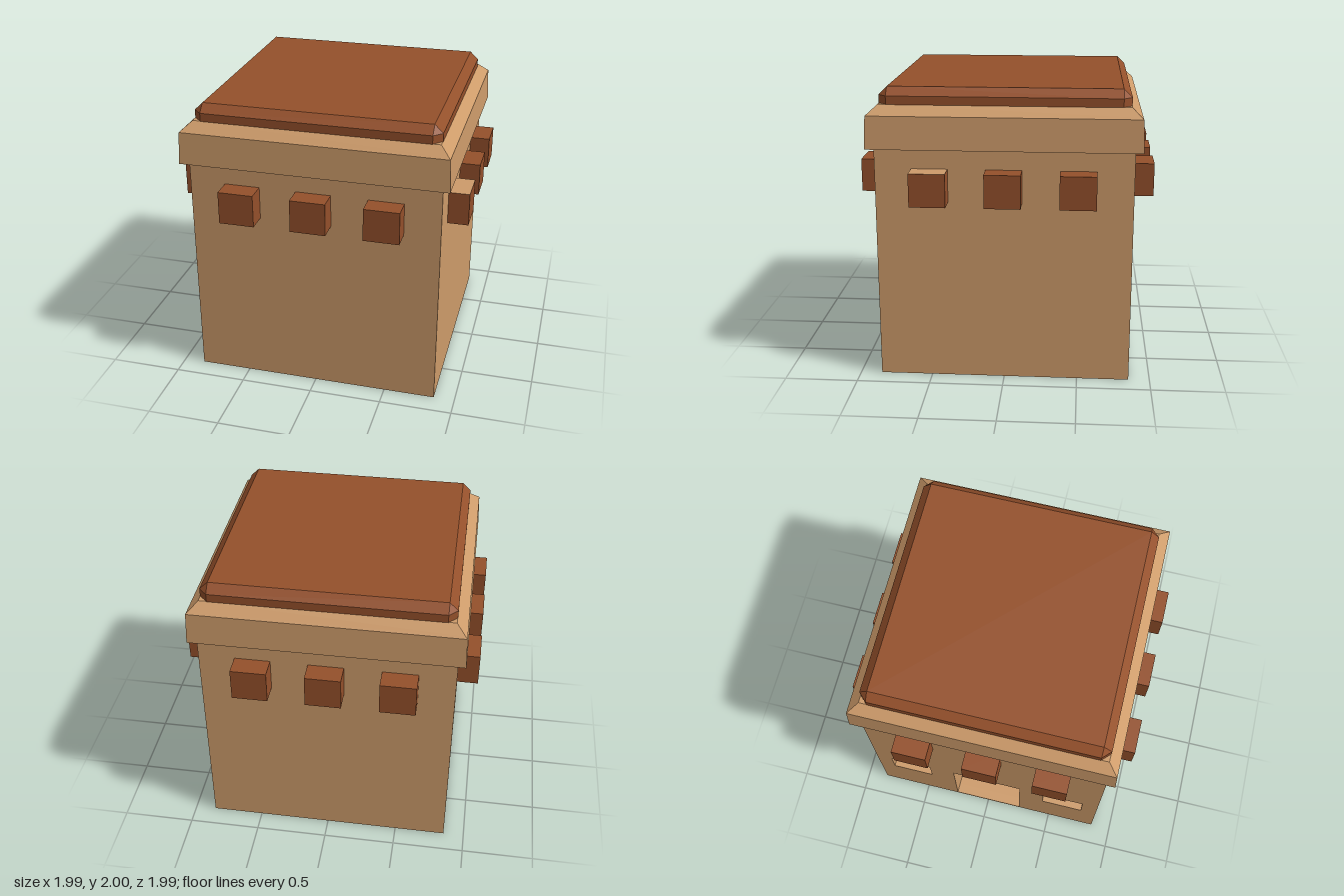
import * as THREE from 'three';
import { ConvexGeometry } from 'three/addons/geometries/ConvexGeometry.js';

const sand = new THREE.MeshStandardMaterial({ color: 0xcd9b6a, flatShading: true });
const brown = new THREE.MeshStandardMaterial({ color: 0x94502b, flatShading: true });

const HALF = 0.855;   // half width of the house
const WALL = 0.07;    // wall thickness
const TOP = 1.65;     // wall top, hidden inside the cornice
const FLOOR = 0.015;

export function createModel() {
  const model = new THREE.Group();

  function add(name, geometry, material, parent = model) {
    const mesh = new THREE.Mesh(geometry, material);
    mesh.name = name;
    parent.add(mesh);
    return mesh;
  }

  // Box given by its minimum and maximum corners
  function box(name, [x0, y0, z0], [x1, y1, z1], material, parent) {
    const mesh = add(name, new THREE.BoxGeometry(x1 - x0, y1 - y0, z1 - z0), material, parent);
    mesh.position.set((x0 + x1) / 2, (y0 + y1) / 2, (z0 + z1) / 2);
    return mesh;
  }

  function rect(path, x0, y0, x1, y1) {
    path.moveTo(x0, y0);
    path.lineTo(x1, y0);
    path.lineTo(x1, y1);
    path.lineTo(x0, y1);
    path.closePath();
    return path;
  }

  // Wall with the doorway and two windows, drawn in z and y
  const wallShape = rect(new THREE.Shape(), -HALF, 0, HALF, TOP);
  const openings = [
    [-0.255, FLOOR, 0.255, 0.655],
    [-0.74, 0.43, -0.44, 0.655],
    [0.44, 0.43, 0.74, 0.655],
  ];
  for (const o of openings) wallShape.holes.push(rect(new THREE.Path(), ...o));
  const doorWall = new THREE.ExtrudeGeometry(wallShape, { depth: WALL, bevelEnabled: false });
  doorWall.rotateY(-Math.PI / 2).translate(-HALF + WALL, 0, 0);
  add('doorWall', doorWall, sand);

  // Three plain walls, floor and ceiling around the hollow room
  const IN = HALF - WALL;
  box('frontWall', [-IN, 0, IN], [HALF, TOP, HALF], sand);
  box('backWall', [-IN, 0, -HALF], [HALF, TOP, -IN], sand);
  box('plainSideWall', [IN, 0, -IN], [HALF, TOP, IN], sand);
  box('floor', [-IN, 0, -IN], [IN, FLOOR, IN], sand);
  box('ceiling', [-IN, TOP - 0.05, -IN], [IN, TOP, IN], sand);

  // Deep lining of the doorway
  const doorway = new THREE.Group();
  doorway.name = 'doorway';
  model.add(doorway);
  const inner = -HALF + 0.21;
  box('rearJamb', [-IN, FLOOR, -0.28], [inner, 0.68, -0.255], sand, doorway);
  box('frontJamb', [-IN, FLOOR, 0.255], [inner, 0.68, 0.28], sand, doorway);
  box('lintel', [-IN, 0.655, -0.255], [inner, 0.68, 0.255], sand, doorway);

  // Cornice: square profile tapering upward, then sloping in to the roof
  const profile = [[0, 1.605], [0.907, 1.605], [0.897, 1.825], [0.886, 1.835], [0.825, 1.89], [0, 1.89]]
    .map(([r, y]) => new THREE.Vector2(r * Math.SQRT2, y));
  add('cornice', new THREE.LatheGeometry(profile, 4, Math.PI / 4), sand);

  // Roof slab with chamfered corners and top edges
  const corners = [];
  for (const sx of [-1, 1]) for (const sz of [-1, 1]) {
    for (const y of [1.885, 1.945]) {
      corners.push(new THREE.Vector3(sx * 0.827, y, sz * 0.77), new THREE.Vector3(sx * 0.77, y, sz * 0.827));
    }
    corners.push(new THREE.Vector3(sx * 0.77, 2, sz * 0.77));
  }
  add('roofSlab', new ConvexGeometry(corners), brown);

  // Three beam ends on each of the four walls; one has a sand-coloured top
  const sandTopped = [brown, brown, sand, brown, brown, brown];
  for (let side = 0; side < 4; side++) {
    const beams = new THREE.Group();
    beams.name = 'beamRow' + (side + 1);
    beams.rotation.y = side * Math.PI / 2;
    model.add(beams);
    for (const x of [-0.49, 0, 0.49]) {
      const material = side === 1 && x < 0 ? sandTopped : brown;
      box('beamEnd', [x - 0.12, 1.245, HALF - 0.03], [x + 0.12, 1.47, 0.995], material, beams);
    }
  }

  return model;
}
